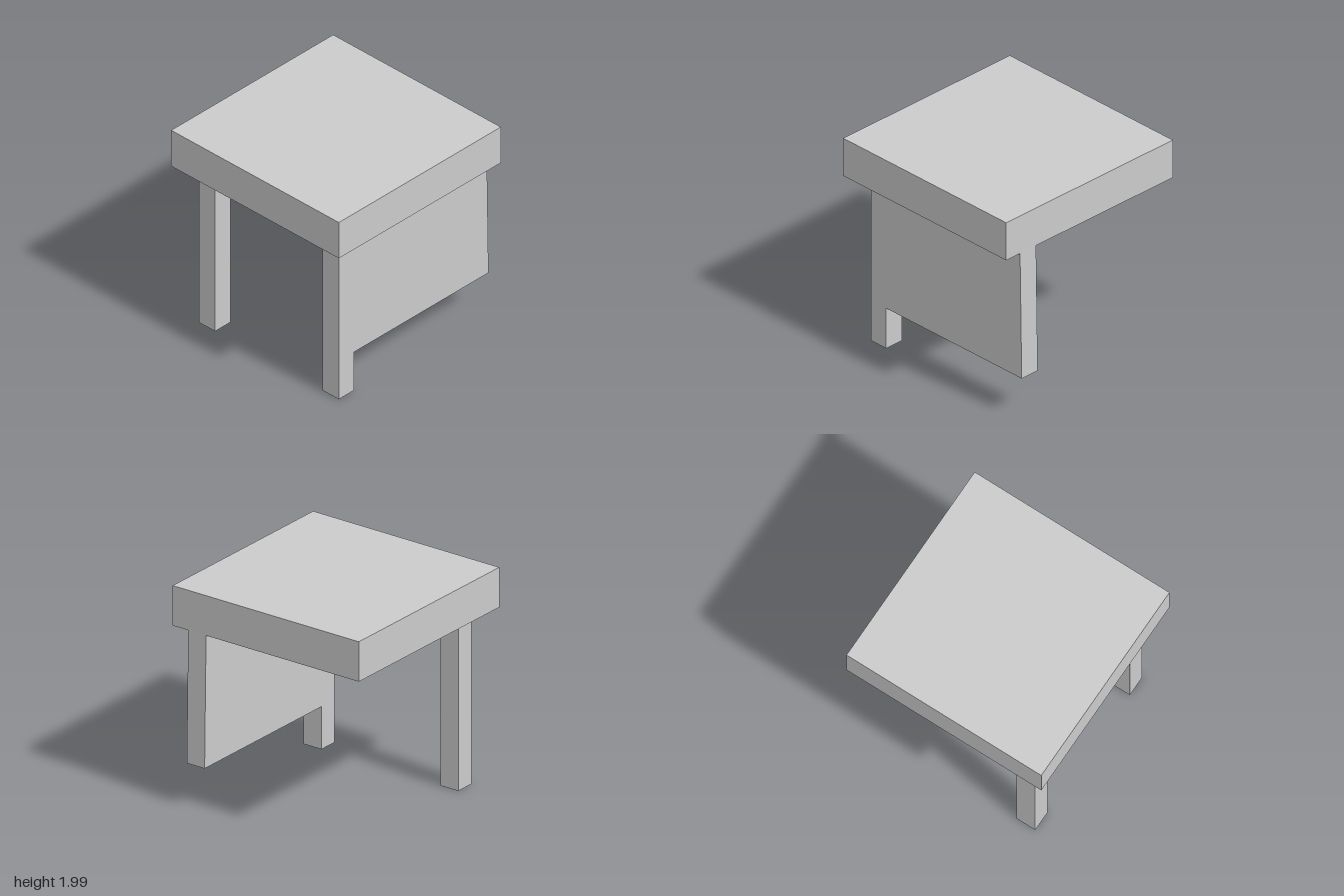
import * as THREE from 'three';

const material = new THREE.MeshStandardMaterial({ color: 0xcccccc, flatShading: true });

// Box given by its lower and upper corners
function block(name, [x0, y0, z0], [x1, y1, z1]) {
  const geometry = new THREE.BoxGeometry(x1 - x0, y1 - y0, z1 - z0);
  geometry.translate((x0 + x1) / 2, (y0 + y1) / 2, (z0 + z1) / 2);
  const mesh = new THREE.Mesh(geometry, material);
  mesh.name = name;
  return mesh;
}

export function createModel() {
  const group = new THREE.Group();
  group.name = 'table';

  // Thick square top
  group.add(block('tableTop', [-1, 1.62, -0.99], [0.98, 1.99, 0.99]));

  // Single square leg at the back
  group.add(block('backLeg', [-0.83, 0, -0.825], [-0.64, 1.62, -0.635]));

  // Front leg and broad panel in one piece, its free edge slightly slanted
  const outline = new THREE.Shape([
    [-0.83, 0], [-0.645, 0], [-0.645, 0.395], [1, 0.395], [0.98, 1.62], [-0.83, 1.62],
  ].map(([x, y]) => new THREE.Vector2(x, y)));
  const panelGeometry = new THREE.ExtrudeGeometry(outline, { depth: 0.19, bevelEnabled: false });
  panelGeometry.translate(0, 0, 0.635);
  const panel = new THREE.Mesh(panelGeometry, material);
  panel.name = 'frontLegPanel';
  group.add(panel);

  return group;
}
